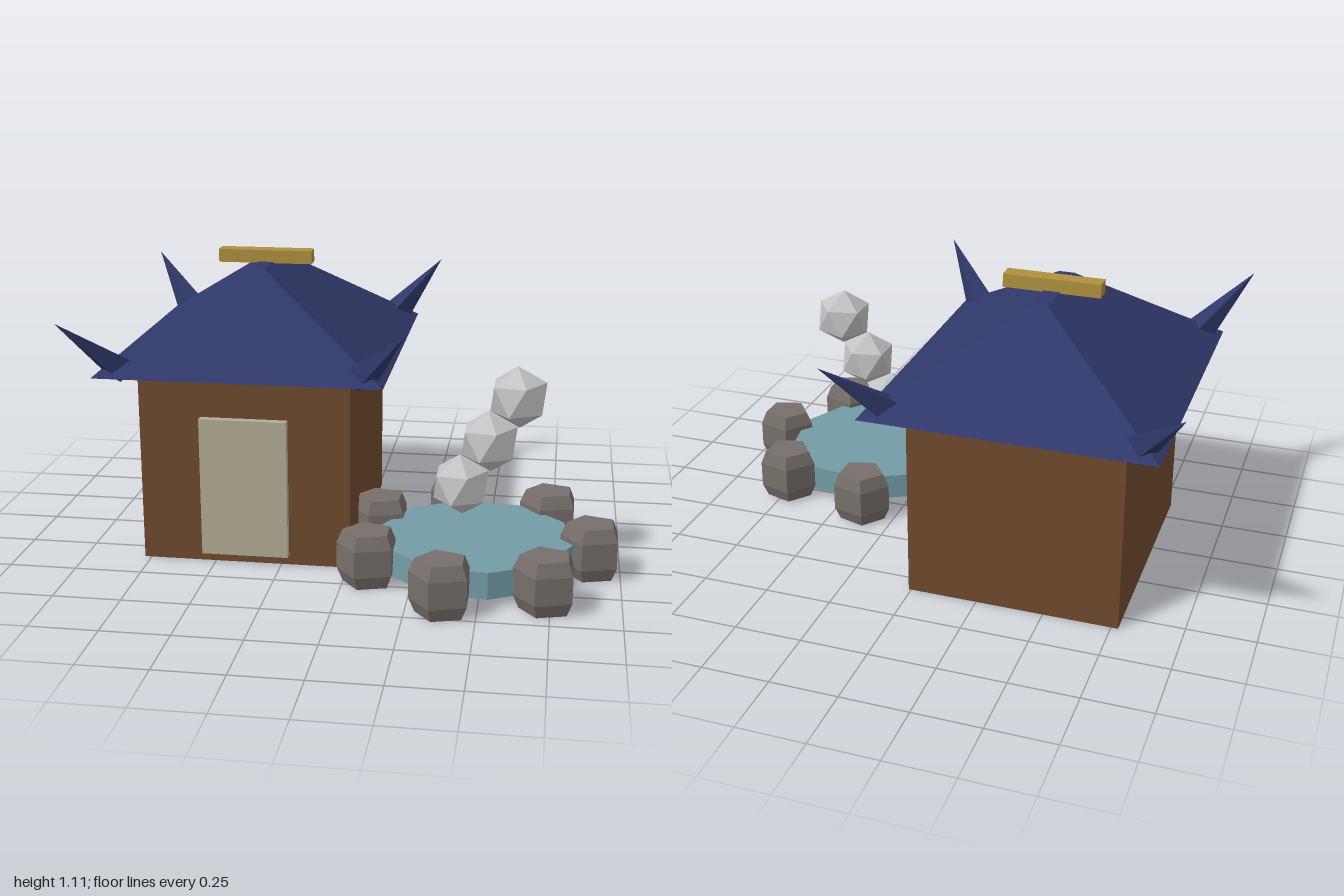
import * as THREE from 'three';

const mat = (name, color) => {
  const m = new THREE.MeshStandardMaterial({ color, flatShading: true });
  m.name = name;
  return m;
};

export function createModel() {
  const model = new THREE.Group();
  model.name = 'hutWithPond';

  const wood = mat('brown wood', 0x6f4a2e);
  const tile = mat('navy roof', 0x2f3869);
  const gold = mat('gold', 0xae903f);
  const paper = mat('pale door', 0xb3ac93);
  const water = mat('pond blue', 0x739ca6);
  const stone = mat('grey stone', 0x766f6a);
  const steam = mat('light grey', 0xc2c2c2);

  const add = (name, geometry, material, x, y, z, parent = model) => {
    const mesh = new THREE.Mesh(geometry, material);
    mesh.name = name;
    mesh.position.set(x, y, z);
    parent.add(mesh);
    return mesh;
  };

  // House
  const hx = -0.383, hz = -0.113;
  add('walls', new THREE.BoxGeometry(0.785, 0.73, 0.925), wood, hx, 0.365, hz);
  add('door', new THREE.BoxGeometry(0.325, 0.525, 0.04), paper, hx, 0.3, 0.36);

  // Hipped roof: a box whose top corners are drawn in to a narrow ridge
  const roof = new THREE.BoxGeometry(1.055, 0.33, 1.185);
  const p = roof.attributes.position;
  for (let i = 0; i < p.count; i++) {
    if (p.getY(i) > 0) {
      p.setX(i, Math.sign(p.getX(i)) * 0.028);
      p.setZ(i, Math.sign(p.getZ(i)) * 0.177);
    }
  }
  roof.computeVertexNormals();
  add('roof', roof, tile, hx, 0.895, hz);
  add('ridgeBeam', new THREE.BoxGeometry(0.36, 0.05, 0.063), gold, hx, 1.08, hz);

  // Upturned corner horns, with the origin at the tip
  const horn = new THREE.ConeGeometry(0.06, 0.327, 4);
  horn.rotateY(Math.PI / 4).translate(0, -0.1635, 0).rotateX(0.887);
  for (const sx of [-1, 1]) {
    for (const sz of [-1, 1]) {
      const m = add('roofHorn', horn, tile, hx + sx * 0.616, 0.95, hz + sz * 0.685);
      m.rotation.y = Math.atan2(sx, sz);
    }
  }

  // Pond with a ring of seven stones
  const px = 0.471, pz = 0.283;
  const pond = new THREE.CylinderGeometry(0.36, 0.36, 0.1, 10);
  pond.rotateY(Math.PI / 18);
  add('pond', pond, water, px, 0.083, pz);

  const profile = [[0, 0], [0.088, 0], [0.109, 0.05], [0.109, 0.15], [0.088, 0.2], [0, 0.2]];
  const rock = new THREE.LatheGeometry(
    profile.map(([r, y]) => new THREE.Vector2(r, y)), 5, -Math.PI / 2);
  rock.scale(1.05, 1, 0.96);
  for (let i = 0; i < 7; i++) {
    const a = (i / 7) * Math.PI * 2;
    add('pondStone', rock, stone, px + 0.421 * Math.cos(a), 0, pz + 0.421 * Math.sin(a));
  }

  // Rising puffs of steam
  const puff = new THREE.IcosahedronGeometry(0.115, 0);
  for (let i = 0; i < 3; i++) {
    add('steamPuff', puff, steam, 0.41 + i * 0.1, 0.328 + i * 0.17, pz + 0.002).rotation.z = -0.5;
  }

  return model;
}
